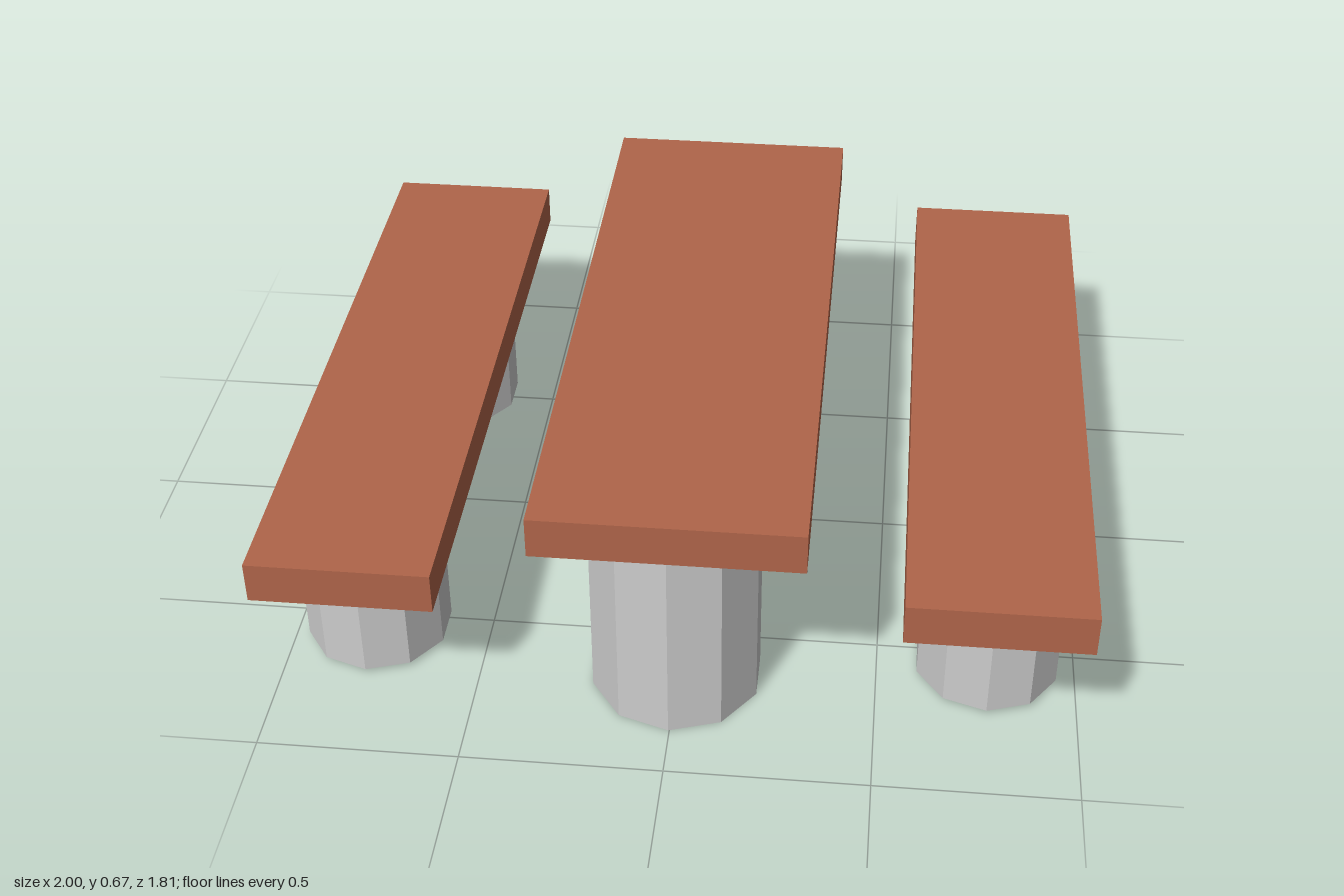
import * as THREE from 'three';

export function createModel() {
  const model = new THREE.Group();
  const wood = new THREE.MeshStandardMaterial({ color: 0xb0654a, flatShading: true });
  const stone = new THREE.MeshStandardMaterial({ color: 0xcccccc, flatShading: true });
  const length = 1.81;

  // A plank resting on two ten-sided posts
  function addUnit(name, { x, width, top, bottom, legX, legR, legBase, legZ }) {
    const unit = new THREE.Group();
    unit.name = name;

    const plank = new THREE.Mesh(new THREE.BoxGeometry(width, top - bottom, length), wood);
    plank.name = name + 'Plank';
    plank.position.set(x, (top + bottom) / 2, 0);
    unit.add(plank);

    const height = bottom - legBase;
    legZ.forEach((z, i) => {
      const leg = new THREE.Mesh(new THREE.CylinderGeometry(legR, legR, height, 10), stone);
      leg.name = name + (i === 0 ? 'FrontLeg' : 'BackLeg');
      leg.position.set(legX, legBase + height / 2, z);
      unit.add(leg);
    });
    model.add(unit);
  }

  // Central table
  addUnit('table', {
    x: 0.002, width: 0.648, top: 0.674, bottom: 0.568,
    legX: -0.003, legR: 0.217, legBase: 0, legZ: [0.644, -0.6],
  });

  // Benches on both sides
  const bench = { width: 0.446, top: 0.485, bottom: 0.378, legR: 0.184, legBase: 0.012, legZ: [0.545, -0.5] };
  addUnit('leftBench', { ...bench, x: 0.777, legX: 0.777 });
  addUnit('rightBench', { ...bench, x: -0.777, legX: -0.79 });

  return model;
}
